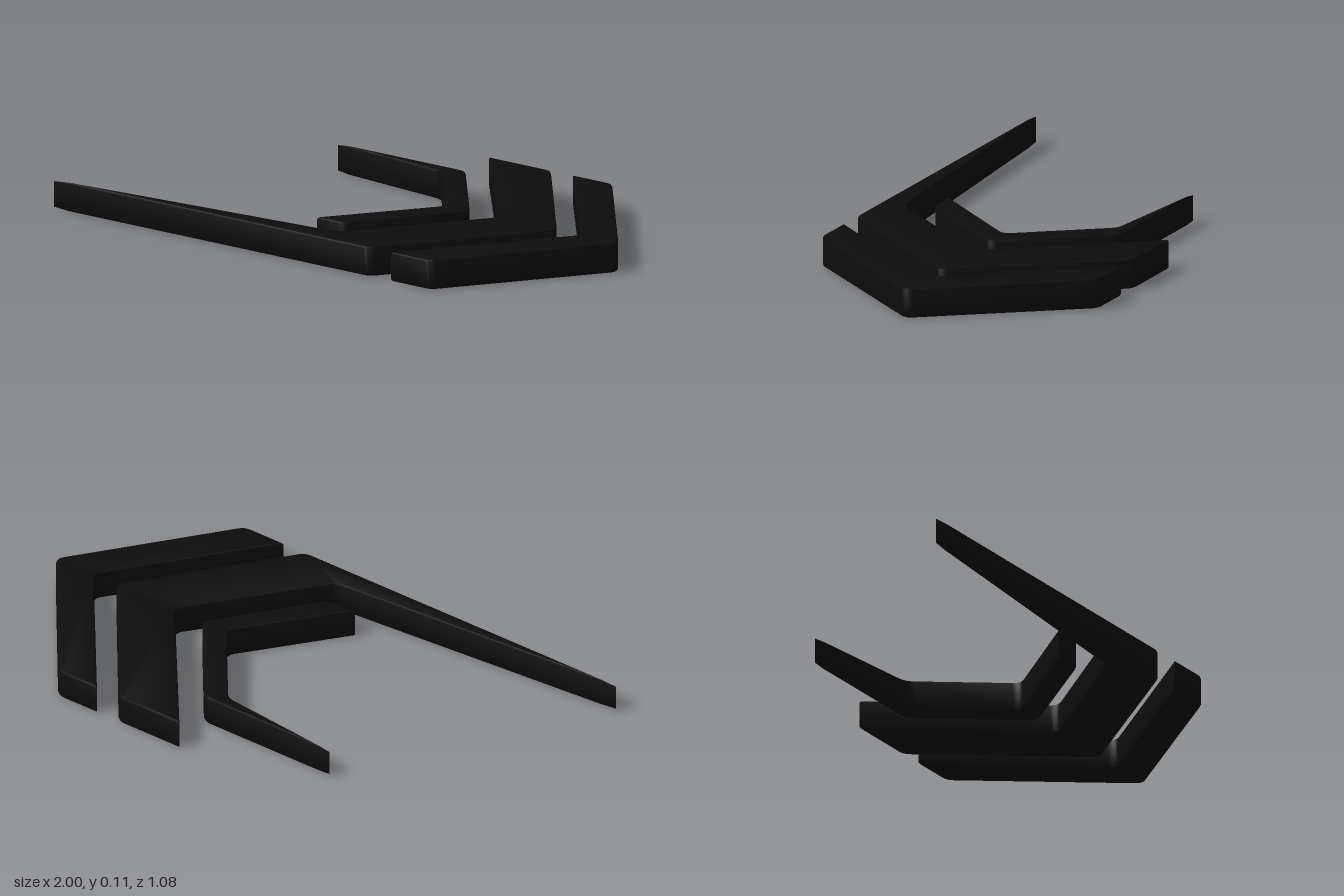
import * as THREE from 'three';
import { toCreasedNormals } from 'three/addons/utils/BufferGeometryUtils.js';

const HEIGHT = 0.108;
const BEVEL = 0.008;

// Softens outline corners; each point is [x, z, cornerSize]
function roundOutline(points) {
  const out = [];
  const n = points.length;
  points.forEach(([x, z, r], i) => {
    const p = new THREE.Vector2(x, z);
    if (!r) return out.push(p);
    const toward = ([ax, az]) => new THREE.Vector2(ax, az).sub(p).setLength(r).add(p);
    const a = toward(points[(i + n - 1) % n]);
    const b = toward(points[(i + 1) % n]);
    out.push(...new THREE.QuadraticBezierCurve(a, p, b).getPoints(5));
  });
  return out;
}

// Moves every outline point inward along its mitre
function inset(outline, d) {
  const n = outline.length;
  const normal = (a, b) => new THREE.Vector2(a.y - b.y, b.x - a.x).normalize();
  return outline.map((p, i) => {
    const n1 = normal(outline[(i + n - 1) % n], p);
    const n2 = normal(p, outline[(i + 1) % n]);
    const k = d / (1 + n1.dot(n2));
    return new THREE.Vector2(p.x + (n1.x + n2.x) * k, p.y + (n1.y + n2.y) * k);
  });
}

// Flat slab with bevelled rims that stay clean on needle-thin tips
function slab(points) {
  const outline = roundOutline(points);
  const n = outline.length;
  const soft = BEVEL * 0.3;
  const profile = [
    [BEVEL, 0], [soft, soft], [0, BEVEL],
    [0, HEIGHT - BEVEL], [soft, HEIGHT - soft], [BEVEL, HEIGHT],
  ];
  const position = [];
  const index = [];
  profile.forEach(([d, y]) => inset(outline, d).forEach(p => position.push(p.x, y, p.y)));
  for (let r = 0; r < profile.length - 1; r++) {
    for (let i = 0; i < n; i++) {
      const j = (i + 1) % n;
      const a = r * n + i, b = r * n + j, c = a + n, d = b + n;
      index.push(a, c, d, a, d, b);
    }
  }
  const top = (profile.length - 1) * n;
  for (const [a, b, c] of THREE.ShapeUtils.triangulateShape(inset(outline, BEVEL), [])) {
    index.push(a, b, c, top + a, top + c, top + b);
  }
  const geometry = new THREE.BufferGeometry();
  geometry.setAttribute('position', new THREE.Float32BufferAttribute(position, 3));
  geometry.setIndex(index);
  return toCreasedNormals(geometry, 0.5);
}

export function createModel() {
  const group = new THREE.Group();
  group.name = 'tripleChevron';
  const black = new THREE.MeshStandardMaterial({ color: 0x0d0d0d });
  black.name = 'black';

  const parts = {
    // Plain chevron at the leading side
    leadingChevron: [
      [0.43, -0.54], [0.597, -0.54, 0.025], [1.009, 0, 0.03],
      [0.597, 0.54, 0.025], [0.43, 0.54], [0.846, 0, 0.03],
    ],
    // Wide chevron whose front arm trails into a long needle
    middleChevron: [
      [0.075, -0.54], [0.337, -0.54, 0.025], [0.748, 0, 0.03],
      [0.337, 0.54, 0.025], [-1, 0.54], [0.142, 0.453, 0.03], [0.497, 0, 0.03],
    ],
    // Small chevron whose back arm trails into a short needle
    innerChevron: [
      [-0.44, -0.365], [0.1, -0.365, 0.025], [0.379, 0, 0.03],
      [0.1, 0.362, 0.025], [-0.01, 0.362], [0.274, 0, 0.03], [0.032, -0.316, 0.03],
    ],
  };
  for (const [name, points] of Object.entries(parts)) {
    const mesh = new THREE.Mesh(slab(points), black);
    mesh.name = name;
    group.add(mesh);
  }
  return group;
}
